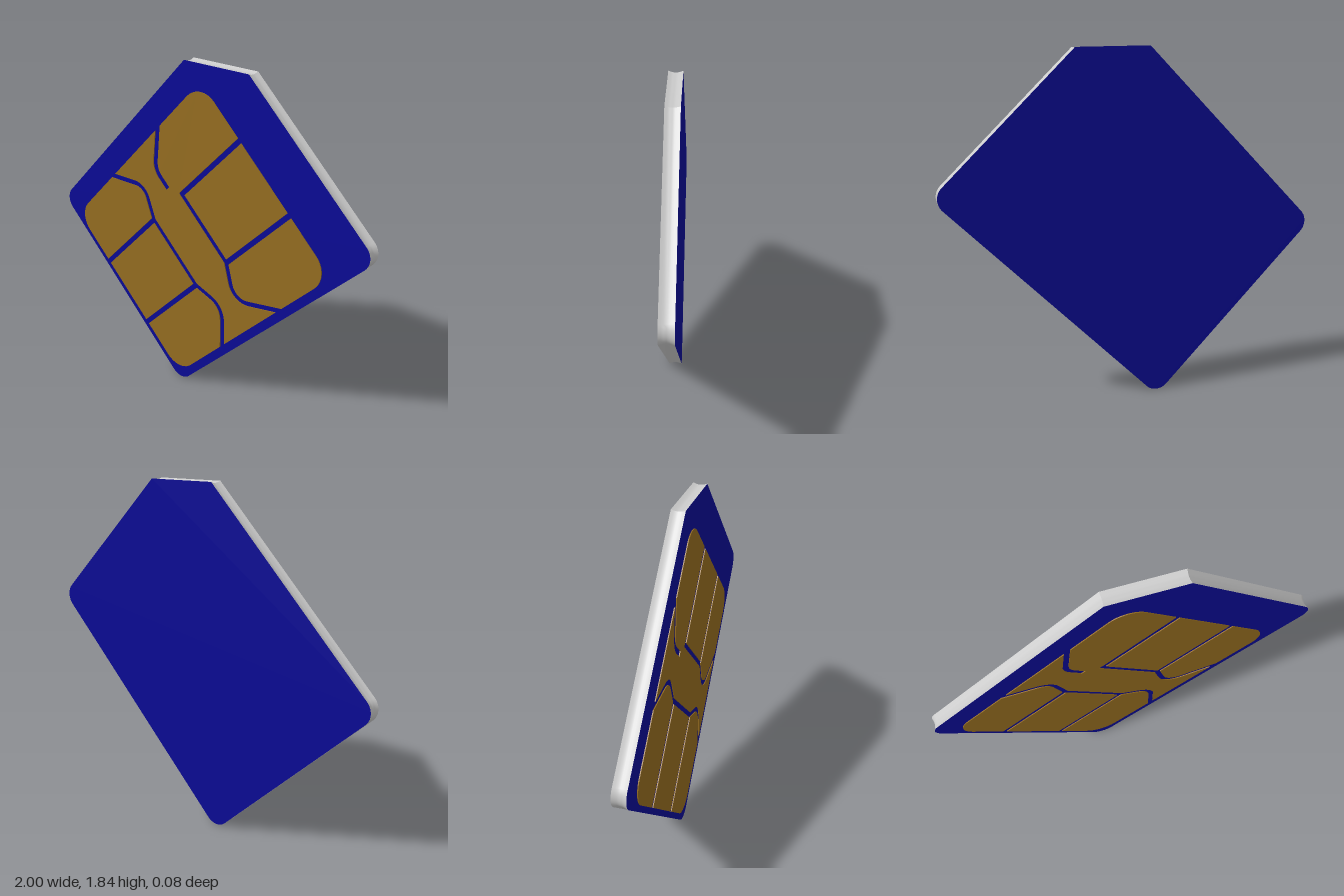
import * as THREE from 'three';
import { toCreasedNormals } from 'three/addons/utils/BufferGeometryUtils.js';

const GAP = 0.014;                                   // half the groove width
const BACK = -0.038, FRONT = 0.033, CONTACT = 0.005; // card faces, contact thickness

// Moves a counter-clockwise outline inwards by d (mitred); corners are {x, y, r}
function inset(pts, d) {
  const n = pts.length;
  return pts.map((p, i) => {
    const a = pts[(i + n - 1) % n], b = pts[(i + 1) % n];
    const l1 = Math.hypot(p.x - a.x, p.y - a.y), l2 = Math.hypot(b.x - p.x, b.y - p.y);
    const n1 = [-(p.y - a.y) / l1, (p.x - a.x) / l1];
    const n2 = [-(b.y - p.y) / l2, (b.x - p.x) / l2];
    const s = d / (1 + n1[0] * n2[0] + n1[1] * n2[1]);
    const convex = n1[0] * n2[1] - n1[1] * n2[0] > 0;
    const r = p.r ? Math.max(p.r + (convex ? -d : d), 0.001) : 0;
    return { x: p.x + (n1[0] + n2[0]) * s, y: p.y + (n1[1] + n2[1]) * s, r };
  });
}

// Replaces every corner that has a radius by an arc
function roundCorners(pts, segments = 10) {
  const out = [], n = pts.length;
  pts.forEach((p, i) => {
    const v = new THREE.Vector2(p.x, p.y);
    if (!p.r) { out.push(v); return; }
    const a = pts[(i + n - 1) % n], b = pts[(i + 1) % n];
    const toA = new THREE.Vector2(a.x, a.y).sub(v).normalize();
    const toB = new THREE.Vector2(b.x, b.y).sub(v).normalize();
    const turn = Math.PI - Math.acos(toA.dot(toB));
    const t = p.r * Math.tan(turn / 2), c = t - p.r * 4 / 3 * Math.tan(turn / 4);
    const at = (dir, len) => v.clone().addScaledVector(dir, len);
    out.push(...new THREE.CubicBezierCurve(at(toA, t), at(toA, c), at(toB, c), at(toB, t)).getPoints(segments));
  });
  return out;
}

const corners = list => {
  const pts = list.map(([x, y, r = 0]) => ({ x, y, r }));
  return THREE.ShapeUtils.area(pts) < 0 ? pts.reverse() : pts;
};

// Edge wall between the two faces, slightly hollow across its thickness
function rimGeometry(outline, bands = 6) {
  const n = outline.length, pos = [], idx = [];
  for (let k = 0; k <= bands; k++) {
    const f = k / bands;
    for (const p of inset(outline, 0.008 * Math.sin(Math.PI * f))) pos.push(p.x, p.y, BACK + (FRONT - BACK) * f);
  }
  for (let k = 0; k < bands; k++) for (let i = 0; i < n; i++) {
    const a = k * n + i, b = k * n + (i + 1) % n;
    idx.push(a, b, b + n, a, b + n, a + n);
  }
  const g = new THREE.BufferGeometry();
  g.setAttribute('position', new THREE.Float32BufferAttribute(pos, 3));
  g.setIndex(idx);
  return toCreasedNormals(g, 0.5);
}

export function createModel() {
  const model = new THREE.Group();
  model.name = 'chipCard';
  const grey = new THREE.MeshStandardMaterial({ color: 0xcccccc });
  const blue = new THREE.MeshStandardMaterial({ color: 0x0a0a94 });
  const gold = new THREE.MeshStandardMaterial({ color: 0x946c20 });
  const add = (name, geometry, material, parent = model) => {
    const mesh = new THREE.Mesh(geometry, material);
    mesh.name = name;
    parent.add(mesh);
    return mesh;
  };

  // Card body: rounded diamond with one cut corner
  const outline = roundCorners(corners([
    [-0.12, -0.033, 0.08], [1.033, 1.12, 0.08], [0.312, 1.832], [-0.077, 1.841], [-1.033, 0.885, 0.08],
  ]));
  const face = new THREE.Shape(outline);
  add('cardFront', new THREE.ShapeGeometry(face).translate(0, 0, FRONT), blue);
  const back = new THREE.ShapeGeometry(face).translate(0, 0, BACK);
  back.setIndex(Array.from(back.index.array).reverse());
  back.computeVertexNormals();
  add('cardBack', back, blue);
  add('cardRim', rimGeometry(outline), grey);

  // Corners of the contact plate
  const R = 0.134;
  const top = [0.0275, 1.7725, R], right = [0.8325, 0.9675, R];
  const bottom = [-0.13, 0.005, R], left = [-0.935, 0.81, R];
  // Groove centre lines: short blind groove, upper box, then the lower rows
  const A = [[-0.257, 1.488], [-0.283, 1.237, 0.107], [-0.205, 1.159]];
  const A2 = A.map(([x, y, r]) => [x + 0.002, y + 0.002, r]).reverse();
  const B = [[0.2795, 1.5205], [-0.097, 1.144], [0.202, 0.845], [0.5785, 1.2215]];
  const C = [[0.256, 0.642, 0.1], [0.559, 0.694]];
  const D = [[-0.623, 1.122], [-0.366, 1.122, 0.1], [-0.301, 0.941], [-0.6835, 0.5585]];
  const E = [[-0.0025, 0.6425], [-0.385, 0.26]];
  const F = [[0.179, 0.574, 0.12], [0.182, 0.317]];

  // Gold contacts, each drawn back from the groove centre lines
  const contacts = new THREE.Group();
  contacts.name = 'contacts';
  model.add(contacts);
  const pieces = {
    upperMiddleContact: B,
    upperSideContact: [B[2], B[3], right, C[1], C[0]],
    lowerSideContact: [left, D[0], D[1], D[2], D[3]],
    lowerMiddleContact: [D[2], E[0], E[1], D[3]],
    bottomContact: [E[0], F[0], F[1], bottom, E[1]],
    centreContact: [top, B[0], B[1], B[2], C[0], C[1], F[1], F[0], E[0], D[2], D[1], D[0], ...A, ...A2],
  };
  for (const [name, list] of Object.entries(pieces)) {
    const shape = new THREE.Shape(roundCorners(inset(corners(list), GAP)));
    const geometry = new THREE.ExtrudeGeometry(shape, { depth: CONTACT, bevelEnabled: false });
    add(name, geometry, gold, contacts).position.z = FRONT;
  }
  return model;
}
